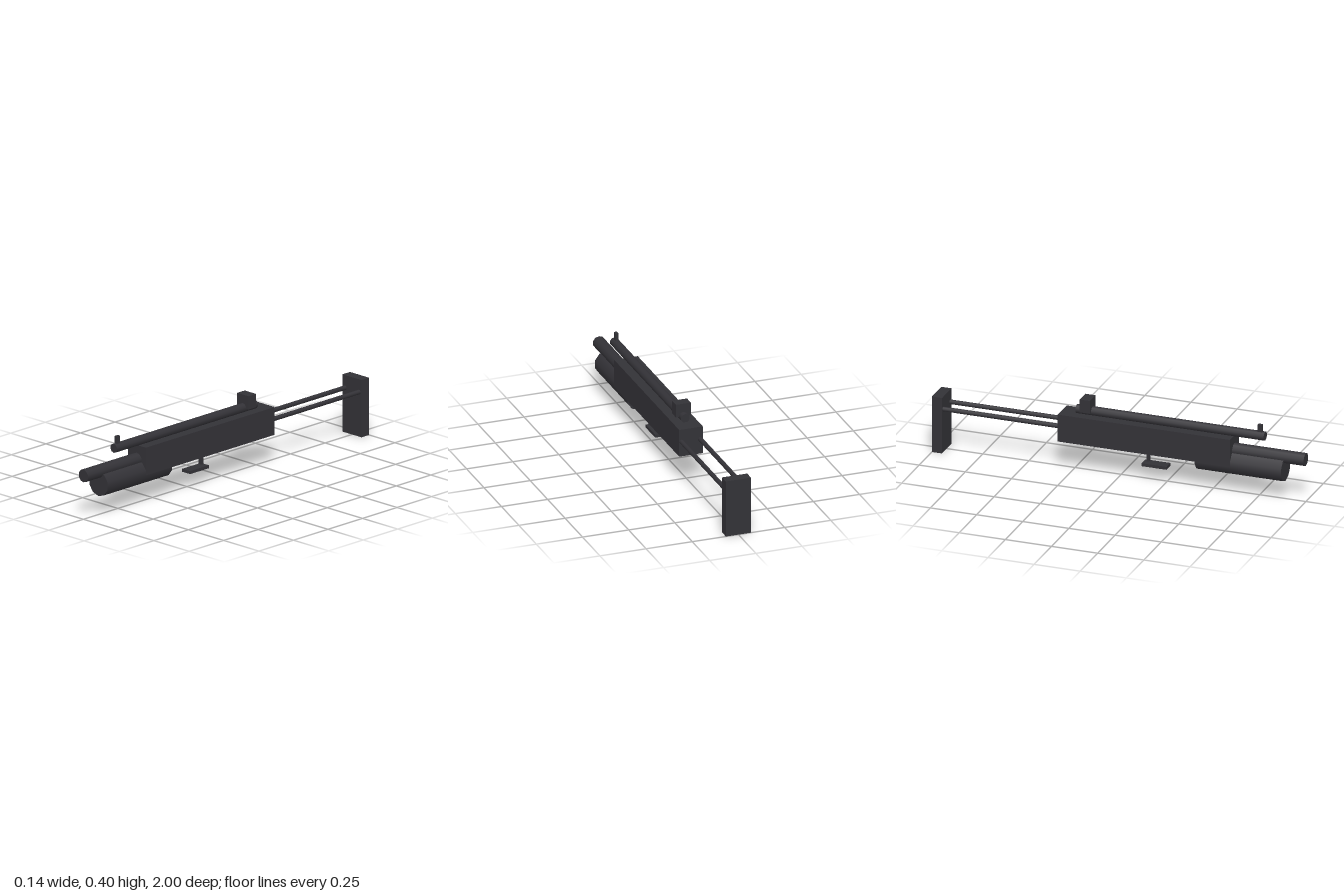
import * as THREE from 'three';

export function createModel() {
  const group = new THREE.Group();
  const darkMetal = new THREE.MeshStandardMaterial({ color: 0x333237 });
  darkMetal.name = 'darkMetal';

  function add(name, geometry, x, y, z) {
    const mesh = new THREE.Mesh(geometry, darkMetal);
    mesh.name = name;
    mesh.position.set(x, y, z);
    group.add(mesh);
  }

  // Box given by its width and its y and z ranges
  function box(name, width, y0, y1, z0, z1) {
    add(name, new THREE.BoxGeometry(width, y1 - y0, z1 - z0), 0, (y0 + y1) / 2, (z0 + z1) / 2);
  }

  // Ten-sided smooth tube lying along z
  function tube(name, radius, x, y, z0, z1) {
    const geometry = new THREE.CylinderGeometry(radius, radius, z1 - z0, 10).rotateX(Math.PI / 2);
    add(name, geometry, x, y, (z0 + z1) / 2);
  }

  // Body, barrel and fore grip
  box('receiver', 0.128, 0.158, 0.306, -0.32, 0.613);
  tube('barrel', 0.034, 0, 0.231, 0.4, 1);
  tube('foreGrip', 0.067, 0, 0.165, 0.422, 0.89);

  // Upper tube with its sights
  tube('upperTube', 0.024, 0, 0.327, -0.24, 0.78);
  box('frontSight', 0.016, 0.34, 0.388, 0.742, 0.765);
  box('rearSight', 0.081, 0.326, 0.396, -0.21, -0.155);

  // Trigger and the plate below it
  box('trigger', 0.02, 0.097, 0.146, 0.14, 0.156);
  box('triggerGuard', 0.056, 0.074, 0.09, 0.12, 0.256);

  // Stock rods and end plate
  for (const side of [-1, 1]) {
    tube(side > 0 ? 'leftStockRod' : 'rightStockRod', 0.012, side * 0.05, 0.238, -0.96, -0.3);
  }
  box('stockPlate', 0.136, 0, 0.305, -1, -0.945);

  return group;
}
